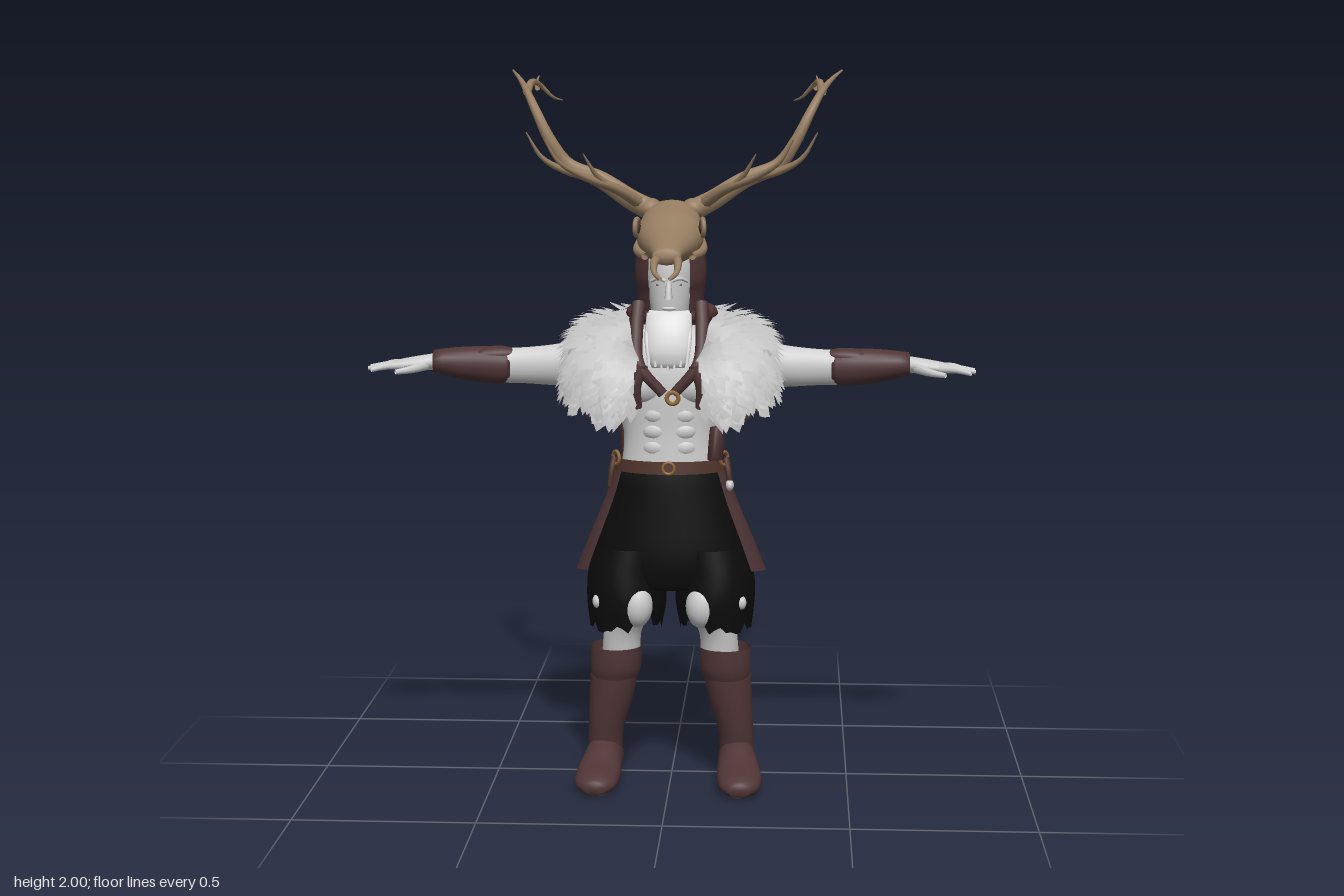
import * as THREE from 'three';
import { mergeGeometries } from 'three/addons/utils/BufferGeometryUtils.js';

const V = (p) => new THREE.Vector3(...p);
const mat = (name, color) => {
  const m = new THREE.MeshStandardMaterial({ color, side: THREE.DoubleSide });
  m.name = name;
  return m;
};

// Ellipse rings [x, y, z, r1, r2] swept along an axis, smoothed between rows
function loft(axis, rows, { n = 22, a0 = 0, a1 = Math.PI * 2, sub = 3, cap = true } = {}) {
  const full = a1 - a0 > 6.28, cols = full ? n : n + 1, pos = [], idx = [];
  const mid = new THREE.CatmullRomCurve3(rows.map((r) => V(r.slice(0, 3))), false, 'catmullrom');
  const rad = new THREE.CatmullRomCurve3(rows.map((r) => V([r[3], r[4], 0])), false, 'catmullrom');
  const steps = (rows.length - 1) * sub;
  for (let i = 0; i <= steps; i++) {
    const c = mid.getPoint(i / steps), r = rad.getPoint(i / steps);
    for (let j = 0; j < cols; j++) {
      const a = a0 + (a1 - a0) * j / n, u = Math.cos(a), v = Math.sin(a);
      if (axis === 'y') pos.push(c.x + r.x * v, c.y, c.z + r.y * u);
      else if (axis === 'x') pos.push(c.x, c.y + r.x * u, c.z + r.y * v);
      else pos.push(c.x + r.x * u, c.y + r.y * v, c.z);
    }
  }
  for (let i = 0; i < steps; i++) for (let j = 0; j < n; j++) {
    const k = (j + 1) % cols, a = i * cols + j, b = i * cols + k;
    idx.push(a, b, b + cols, a, b + cols, a + cols);
  }
  if (cap && full) for (const i of [0, steps]) {
    const c = pos.length / 3;
    pos.push(...mid.getPoint(i / steps).toArray());
    for (let j = 0; j < n; j++) {
      const a = i * cols + j, b = i * cols + (j + 1) % cols;
      idx.push(...(i ? [a, b, c] : [b, a, c]));
    }
  }
  return build(pos, idx);
}

function build(pos, idx) {
  const g = new THREE.BufferGeometry();
  g.setAttribute('position', new THREE.Float32BufferAttribute(pos, 3));
  g.setIndex(idx);
  g.computeVertexNormals();
  return g;
}

function reshape(g, rule) {
  const p = g.attributes.position, v = new THREE.Vector3();
  for (let i = 0; i < p.count; i++) {
    rule(v.fromBufferAttribute(p, i));
    p.setXYZ(i, v.x, v.y, v.z);
  }
  g.computeVertexNormals();
  return g;
}

// Tube along points, thinning from r0 to r1
function taper(pts, r0, r1, seg = 18, sides = 8) {
  const curve = new THREE.CatmullRomCurve3(pts.map(V));
  const g = new THREE.TubeGeometry(curve, seg, 1, sides), p = g.attributes.position, v = new THREE.Vector3();
  for (let i = 0; i < p.count; i++) {
    const t = Math.floor(i / (sides + 1)) / seg, c = curve.getPointAt(t);
    v.fromBufferAttribute(p, i).sub(c).multiplyScalar(r0 + (r1 - r0) * t).add(c);
    p.setXYZ(i, v.x, v.y, v.z);
  }
  return g;
}

const ball = (p, s) => new THREE.SphereGeometry(1, 18, 12).scale(...s).translate(...p);

function mirrored(g) {
  const m = g.clone().scale(-1, 1, 1), ix = m.index;
  for (let i = 0; i < ix.count; i += 3) {
    const a = ix.getX(i);
    ix.setX(i, ix.getX(i + 2));
    ix.setX(i + 2, a);
  }
  return m;
}

export function createModel() {
  const root = new THREE.Group();
  const skin = mat('pale skin', 0xcdcdcd), fur = mat('grey fur', 0xc6c6c6), hair = mat('white beard', 0xdedede);
  const leather = mat('brown leather', 0x503536), cloth = mat('black cloth', 0x0c0c0d);
  const bone = mat('bone', 0x957c60), belt = mat('belt leather', 0x51342b), brass = mat('brass', 0x94683a);
  const add = (name, m, ...gs) => {
    gs.forEach((g) => g.deleteAttribute('uv'));
    const mesh = new THREE.Mesh(mergeGeometries(gs), m);
    mesh.name = name;
    root.add(mesh);
  };
  const pair = (name, m, ...gs) => {
    add('left ' + name, m, ...gs);
    add('right ' + name, m, ...gs.map(mirrored));
  };

  // Torso with chest and stomach muscles
  add('torso', skin, loft('y', [[0, .88, .07, .14, .09], [0, 1, .07, .13, .083], [0, 1.1, .06, .165, .095],
    [0, 1.18, .05, .19, .1], [0, 1.25, .04, .17, .088], [0, 1.3, .04, .09, .065], [0, 1.38, .06, .055, .055]], { n: 28 }));
  pair('chest muscle', skin, ball([.075, 1.135, .115], [.08, .055, .05]));
  for (const y of [.965, 1.01, 1.055]) pair('stomach muscle', skin, ball([.036, y, .125], [.042, .03, .03]));

  // Arms, hands and bracers
  pair('arm', skin, loft('x', [[.1, 1.2, .045, .075, .07], [.2, 1.2, .045, .07, .065], [.3, 1.185, .055, .06, .05],
    [.4, 1.182, .06, .051, .036], [.5, 1.182, .06, .046, .038], [.66, 1.193, .07, .023, .03]]));
  pair('bracer', leather, loft('x', [[.445, 1.18, .06, .044, .037], [.49, 1.182, .06, .052, .043],
    [.58, 1.187, .06, .046, .045], [.66, 1.193, .064, .032, .043]]));
  pair('bracer flap', leather, loft('x', [[.41, 1.215, .06, .006, .012], [.47, 1.212, .06, .024, .033], [.54, 1.208, .06, .024, .035]]));
  pair('hand', skin, loft('x', [[.645, 1.193, .07, .024, .03], [.69, 1.19, .078, .021, .04], [.75, 1.185, .08, .015, .042], [.77, 1.183, .08, .01, .036]]),
    ...[0, 1, 2, 3].map((i) => {
      const z = .047 + i * .023, spread = (i - 1.4) * .019, end = [.81, .84, .84, .825][i];
      return taper([[.74, 1.185, z], [.785, 1.184, z + spread * .5], [end, 1.176, z + spread]], .0115, .006, 8);
    }), taper([[.68, 1.185, .1], [.715, 1.177, .135], [.755, 1.172, .157]], .015, .007, 8));

  // Legs and boots
  pair('leg', skin, loft('y', [[.14, .34, .07, .055, .055], [.135, .43, .08, .053, .06], [.115, .5, .088, .062, .075], [.11, .64, .075, .085, .085]]));
  pair('boot shaft', leather, loft('y', [[.187, .03, .045, .05, .05], [.187, .1, .05, .049, .053], [.182, .16, .056, .052, .058],
    [.167, .25, .06, .064, .066], [.16, .32, .065, .066, .066]]));
  pair('boot cuff', leather, loft('y', [[.158, .3, .066, .067, .066], [.155, .33, .07, .072, .072], [.153, .39, .07, .073, .075]], { cap: false }));
  pair('boot foot', leather, reshape(loft('z', [[.187, .05, -.013, .03, .035], [.187, .055, .02, .05, .058], [.19, .06, .09, .054, .064],
    [.198, .04, .18, .063, .042], [.2, .032, .245, .055, .031], [.2, .028, .275, .028, .018]]), (v) => { v.y = Math.max(v.y, .003); }));
  pair('sole', leather, new THREE.CylinderGeometry(1, 1, .014, 20).scale(.046, 1, .125).translate(.195, .007, .125));

  // Ragged shorts with the knees showing through tears
  add('shorts top', cloth, loft('y', [[0, .565, .05, .16, .11], [0, .64, .052, .215, .125], [0, .76, .06, .19, .115], [0, .9, .07, .15, .1]], { n: 28 }));
  pair('shorts leg', cloth, reshape(loft('y', [[.128, .44, .045, .1, .128], [.125, .52, .045, .112, .14], [.125, .6, .05, .108, .132], [.11, .68, .055, .1, .12]],
    { n: 40, cap: false }), (v) => {
    const a = Math.atan2(v.x - .125, v.z - .045);
    const hem = .45 + .06 * Math.exp(-(((a + .5) / .3) ** 2)) + .01 * Math.sin(a * 9) + .007 * Math.sin(a * 17);
    if (v.y < .62) v.y = hem + (v.y - .44) * (.62 - hem) / .18;
  }));
  pair('torn knee', skin, ball([.09, .52, .145], [.044, .062, .046]));
  pair('torn thigh', skin, ball([.2, .53, .14], [.015, .02, .016]));
  pair('seat patch', cloth, ball([.075, .825, -.03], [.058, .068, .052]));
  add('torn hip', skin, ball([.166, .855, .1], [.012, .016, .02]));

  // Leather back skirt, belt and waist harness
  add('back skirt', leather, reshape(loft('y', [[0, .575, .03, .268, .215], [0, .68, .045, .23, .175], [0, .8, .06, .185, .128], [0, .9, .07, .155, .106]],
    { n: 36, a0: 1.02, a1: Math.PI * 2 - 1.02 }), (v) => {
    v.y += .045 * Math.max(0, (v.z + .15) / .3) * (.9 - v.y) / .325;
  }));
  add('belt', belt, loft('y', [[0, .895, .07, .157, .107], [0, .93, .07, .153, .104]], { n: 32, cap: false, sub: 1 }));
  add('belt buckle', brass, new THREE.TorusGeometry(.016, .004, 6, 16).translate(0, .913, .178));
  pair('belt ring', brass, new THREE.TorusGeometry(.018, .005, 8, 18).rotateY(1).translate(.15, .93, .1));
  pair('hanging strap', belt, taper([[.155, .93, .09], [.163, .89, .1], [.168, .85, .1]], .01, .007, 8));
  add('waist harness', leather, loft('y', [[0, .945, .068, .14, .094], [0, 1.03, .064, .145, .098]], { n: 28, a0: 1.2, a1: 5.08, sub: 1 }));
  add('back strap', leather, taper([[0, 1, -.03], [-.02, 1.1, -.045], [-.09, 1.24, -.045]], .016, .016));
  add('left harness panel', leather, loft('y', [[.125, .93, .09, .025, .06], [.13, 1.02, .085, .022, .055]], { sub: 1 }));

  // Fur mantle: half surface from collar, shoulder and hem curves, then mirrored
  const collar = [[0, 1.33, -.13], [.07, 1.33, -.1], [.11, 1.32, 0], [.115, 1.315, .06], [.11, 1.31, .12], [.1, 1.28, .15], [.08, 1.22, .18]];
  const bulge = [[0, 1.35, -.26], [.15, 1.35, -.215], [.265, 1.35, -.06], [.29, 1.33, .06], [.27, 1.31, .19], [.19, 1.29, .26], [.09, 1.25, .235]];
  const hem = [[0, 1.07, -.22], [.16, 1.09, -.195], [.28, 1.18, -.05], [.3, 1.17, .06], [.265, 1.11, .17], [.175, 1.06, .215], [.1, 1.09, .19]];
  const curves = [collar, bulge, hem].map((c) => new THREE.CatmullRomCurve3(c.map(V), false, 'catmullrom'));
  const mantle = (u, v) => {
    const [a, b, c] = curves.map((k) => k.getPoint(u));
    return a.multiplyScalar((1 - v) ** 2).addScaledVector(b, 2 * v * (1 - v)).addScaledVector(c, v * v);
  };
  const sheet = (end) => {
    const pos = [], idx = [], nu = 26, nv = 10;
    for (let i = 0; i <= nu; i++) for (let j = 0; j <= nv; j++) {
      pos.push(...mantle(i / nu, end * j / nv).toArray());
      if (i < nu && j < nv) {
        const a = i * (nv + 1) + j, b = a + nv + 1;
        idx.push(a, b, b + 1, a, b + 1, a + 1);
      }
    }
    return build(pos, idx);
  };
  pair('mantle', fur, sheet(1));
  pair('mantle lining', leather, sheet(1.07).translate(0, -1.2, -.02).scale(.965, .965, .965).translate(0, 1.197, .02));

  // Overlapping fur tufts
  let seed = 7;
  const rnd = () => (seed = (seed * 16807) % 2147483647) / 2147483647;
  const pos = [], idx = [];
  for (let i = 0; i < 520; i++) {
    const u = rnd() * .98, v = .06 + .92 * Math.sqrt(rnd()), p = mantle(u, v);
    const du = mantle(u + .01, v).sub(p).normalize(), dv = mantle(u, v + .01).sub(p).normalize();
    const nrm = du.clone().cross(dv).normalize(), w = .014 + .01 * rnd(), len = .04 + .025 * rnd();
    dv.addScaledVector(du, (rnd() - .5) * .7);
    const corner = (s, d, lift) => p.clone().addScaledVector(du, s * w).addScaledVector(dv, d * len).addScaledVector(nrm, lift);
    const k = pos.length / 3, lift = .012 + .014 * rnd();
    for (const c of [corner(-1, 0, .002), corner(1, 0, .002), corner(.9, .65, lift), corner(-.3, 1, lift)]) pos.push(...c.toArray());
    idx.push(k, k + 1, k + 2, k, k + 2, k + 3);
  }
  pair('fur tufts', fur, build(pos, idx));

  // Collar, hood and chest straps
  add('collar', leather, new THREE.TorusGeometry(.105, .024, 10, 32).rotateX(Math.PI / 2).translate(0, 1.325, -.005));
  add('hood', leather, reshape(loft('y', [[0, 1.3, .045, .088, .07], [0, 1.38, .052, .092, .085], [0, 1.45, .06, .099, .1], [0, 1.515, .06, .095, .102]],
    { n: 30, a0: .62, a1: Math.PI * 2 - .62 }), (v) => { if (v.y > 1.42) v.y -= (v.z + .04) * .1; }));
  pair('chest strap', leather, taper([[.086, 1.36, .09], [.09, 1.29, .135], [.08, 1.2, .185], [.015, 1.12, .18]], .02, .014));
  pair('strap tail', leather, taper([[.075, 1.2, .185], [.09, 1.14, .185], [.085, 1.08, .165]], .02, .012));
  add('clasp', brass, new THREE.TorusGeometry(.016, .006, 8, 18).translate(.012, 1.11, .192));

  // Head, face and beard
  add('head', skin, loft('y', [[0, 1.29, .11, .03, .035], [0, 1.33, .1, .05, .06], [0, 1.4, .09, .063, .076], [0, 1.47, .085, .068, .08], [0, 1.53, .07, .06, .07], [0, 1.56, .06, .03, .03]]));
  add('nose and mouth', skin, taper([[0, 1.425, .162], [0, 1.4, .172], [0, 1.38, .178]], .007, .011, 8), ball([0, 1.352, .158], [.02, .006, .008]));
  pair('brow', skin, taper([[.008, 1.428, .164], [.03, 1.434, .158], [.05, 1.425, .14]], .006, .004, 8));
  pair('eye', cloth, ball([.027, 1.416, .154], [.009, .0025, .004]));
  add('beard', hair, loft('y', [[0, 1.195, .2, .045, .014], [0, 1.24, .197, .06, .025], [0, 1.3, .172, .064, .034], [0, 1.345, .14, .056, .032]]),
    ...[-3, -2, -1, 0, 1, 2, 3].map((i) => taper([[i * .017, 1.335, .168 - Math.abs(i) * .007], [i * .019, 1.27, .206 - Math.abs(i) * .004], [i * .017, 1.19 + Math.abs(i) * .004, .212]], .011, .004, 10)));

  // Deer skull headdress
  add('skull', bone, loft('z', [[0, 1.59, -.06, .032, .026], [0, 1.592, -.035, .068, .042], [0, 1.585, .02, .078, .055], [0, 1.55, .075, .092, .074],
    [0, 1.54, .115, .088, .07], [0, 1.522, .175, .064, .049], [0, 1.51, .235, .044, .032], [0, 1.5, .285, .037, .02]], { n: 28 }));
  pair('snout prong', bone, taper([[.024, 1.5, .26], [.032, 1.485, .3], [.028, 1.462, .332], [.012, 1.448, .35]], .015, .005));
  pair('cheek bone', bone, taper([[.08, 1.535, .04], [.09, 1.508, .1], [.064, 1.495, .17]], .014, .01));
  pair('eye socket', leather, ball([.088, 1.57, .112], [.009, .02, .021]));
  pair('eye rim', bone, new THREE.TorusGeometry(.023, .007, 8, 20).rotateY(1.75).translate(.09, 1.57, .112));

  // Antlers with tines
  pair('antler', bone,
    taper([[.045, 1.605, 0], [.11, 1.637, -.01], [.2, 1.693, -.035], [.295, 1.735, -.05], [.342, 1.8, -.045], [.38, 1.875, -.06],
      [.413, 1.935, -.11], [.44, 1.968, -.185], [.472, 1.995, -.275]], .032, .003, 44, 10),
    taper([[.415, 1.935, -.12], [.408, 1.962, -.18], [.393, 1.955, -.25], [.36, 1.92, -.29], [.337, 1.91, -.34]], .013, .002),
    taper([[.398, 1.945, -.235], [.405, 1.96, -.27], [.4, 1.98, -.3]], .008, .002, 10),
    taper([[.09, 1.632, .005], [.15, 1.672, .06], [.24, 1.71, .12], [.3, 1.75, .16], [.335, 1.81, .18]], .019, .002, 24),
    taper([[.16, 1.675, .065], [.2, 1.71, .1], [.235, 1.77, .135]], .012, .002),
    taper([[.21, 1.698, -.035], [.3, 1.72, -.015], [.36, 1.755, .005], [.402, 1.825, .025]], .016, .002),
    ball([.06, 1.615, 0], [.035, .03, .035]));

  return root;
}
